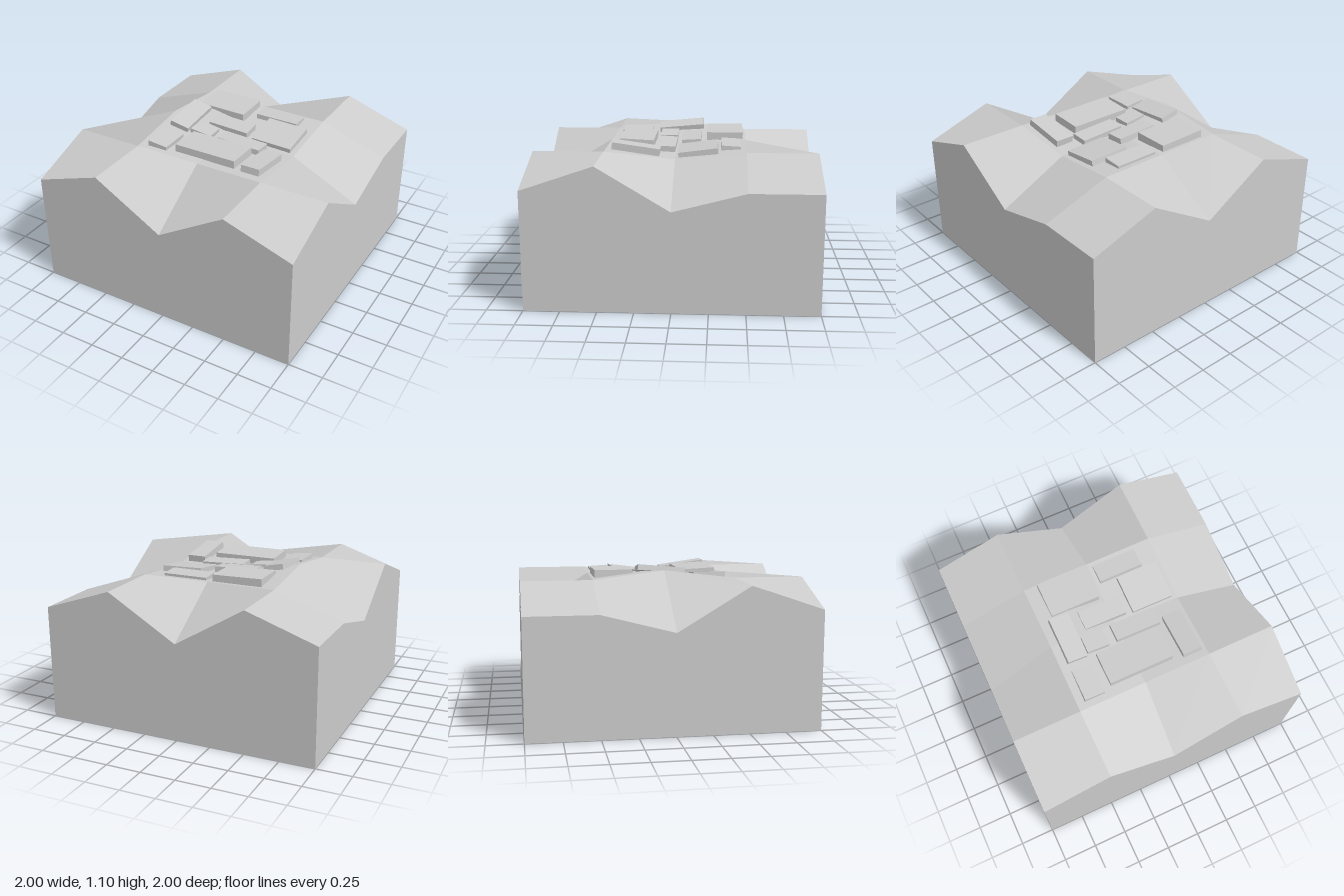
import * as THREE from 'three';

const material = new THREE.MeshStandardMaterial({ color: 0xcccccc });

// Ground heights on a 5 x 5 grid: rows run back to front, columns -x to +x
const heights = [
  [0.83, 1.0, 0.70, 1.0, 0.83],
  [0.83, 1.0, 1.0, 1.0, 0.83],
  [0.70, 1.06, 0.97, 0.95, 0.70],
  [1.0, 1.0, 1.0, 1.0, 1.0],
  [0.83, 1.0, 0.70, 1.0, 0.83],
];

// Stones: x0, x1, z0, z1, height of top centre, thickness, tilt about x, tilt about z
const stones = [
  [-0.40, -0.03, -0.48, -0.21, 1.055, 0.06, 0, -0.02],
  [0.03, 0.36, -0.46, -0.32, 1.02, 0.05, -0.06, 0],
  [0.15, 0.46, -0.30, -0.02, 1.01, 0.05, 0.13, -0.03],
  [-0.44, -0.29, -0.18, 0.16, 1.07, 0.04, 0.09, -0.2],
  [-0.22, 0.10, -0.17, -0.03, 1.025, 0.05, 0.06, -0.04],
  [-0.28, -0.11, 0.01, 0.14, 1.025, 0.04, 0, -0.12],
  [-0.44, -0.29, 0.22, 0.45, 1.03, 0.04, 0, -0.1],
  [-0.23, 0.25, 0.17, 0.42, 1.043, 0.06, -0.05, 0],
  [0.32, 0.46, 0.11, 0.45, 1.035, 0.05, -0.14, 0],
  [-0.05, 0.29, 0.01, 0.14, 1.01, 0.05, -0.06, -0.04],
];

// A block whose top edge and surface follow the height grid, with one normal per quad
function groundGeometry() {
  const box = new THREE.BoxGeometry(2, 1, 2, 4, 1, 4);
  const p = box.attributes.position;
  for (let i = 0; i < p.count; i++) {
    const column = Math.round((p.getX(i) + 1) * 2);
    const row = Math.round((p.getZ(i) + 1) * 2);
    p.setY(i, p.getY(i) > 0 ? heights[row][column] : 0);
  }
  const geometry = box.toNonIndexed();
  geometry.computeVertexNormals();
  const n = geometry.attributes.normal;
  const sum = new THREE.Vector3();
  const v = new THREE.Vector3();
  for (let q = 0; q < n.count; q += 6) {
    sum.set(0, 0, 0);
    for (let k = 0; k < 6; k++) sum.add(v.fromBufferAttribute(n, q + k));
    sum.normalize();
    for (let k = 0; k < 6; k++) n.setXYZ(q + k, sum.x, sum.y, sum.z);
  }
  return geometry;
}

export function createModel() {
  const model = new THREE.Group();
  model.name = 'stonyGround';

  const ground = new THREE.Mesh(groundGeometry(), material);
  ground.name = 'ground';
  model.add(ground);

  // Tilted paving stones scattered over the middle
  const paving = new THREE.Group();
  paving.name = 'pavingStones';
  stones.forEach(([x0, x1, z0, z1, top, thickness, tiltX, tiltZ], i) => {
    const stone = new THREE.Mesh(new THREE.BoxGeometry(x1 - x0, thickness, z1 - z0), material);
    stone.name = `pavingStone${i + 1}`;
    stone.position.set((x0 + x1) / 2, top - thickness / 2, (z0 + z1) / 2);
    stone.rotation.set(tiltX, 0, tiltZ);
    paving.add(stone);
  });
  model.add(paving);

  return model;
}
